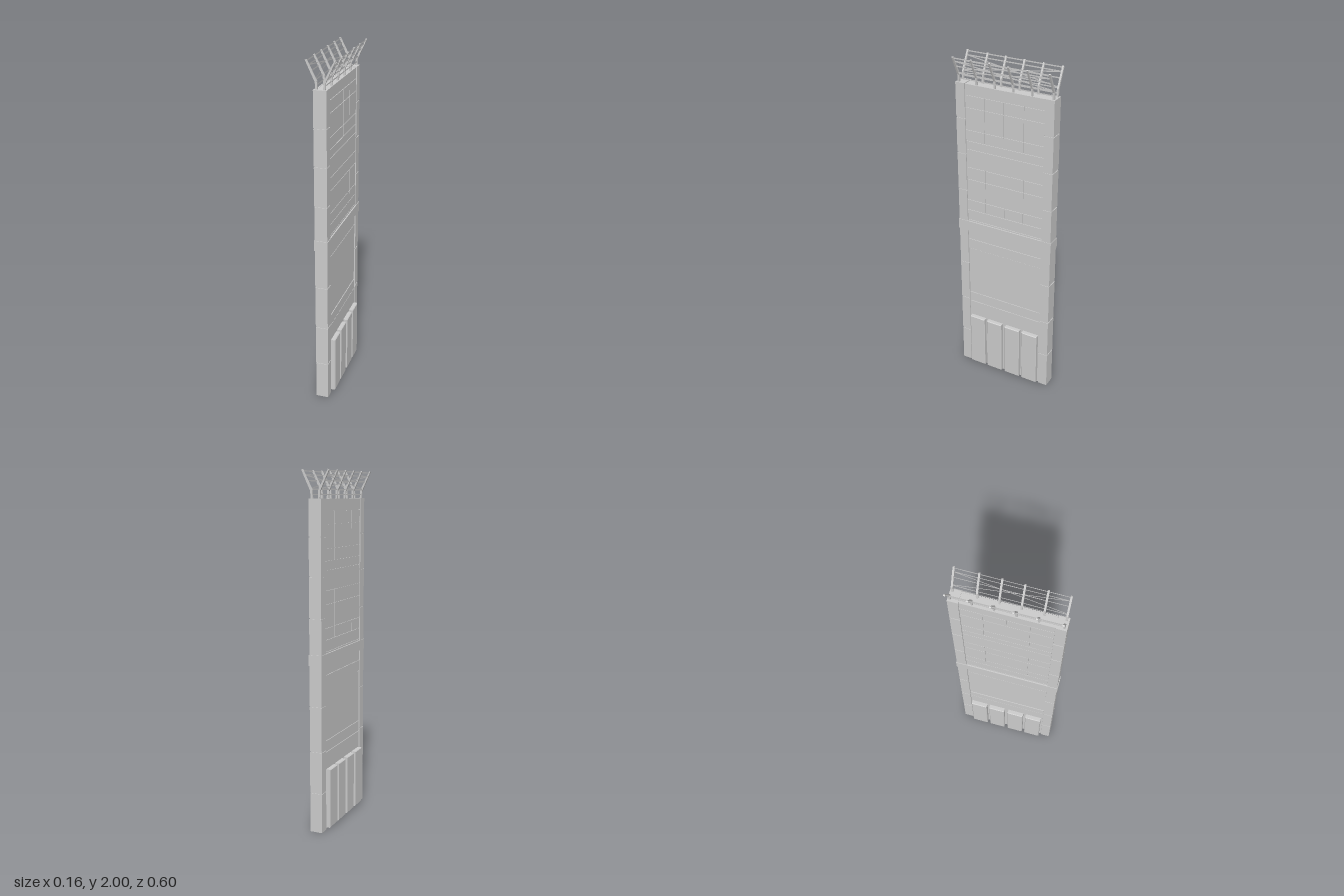
import * as THREE from 'three';

const material = new THREE.MeshStandardMaterial({ color: 0xcccccc, flatShading: true });
const thin = new THREE.MeshStandardMaterial({ color: 0xcccccc, side: THREE.DoubleSide });

export function createModel() {
  const root = new THREE.Group();
  root.name = 'barrierWall';

  const add = (name, geometry, mat = material) => {
    const mesh = new THREE.Mesh(geometry, mat);
    mesh.name = name;
    root.add(mesh);
    return mesh;
  };
  const box = (name, x0, x1, y0, y1, z0, z1) => {
    const mesh = add(name, new THREE.BoxGeometry(x1 - x0, y1 - y0, z1 - z0));
    mesh.position.set((x0 + x1) / 2, (y0 + y1) / 2, (z0 + z1) / 2);
    return mesh;
  };

  // Solid core, with the surface slabs leaving narrow seams over it
  box('wallCore', -0.028, 0.028, 0.005, 1.846, -0.245, 0.245);
  const face = 0.032, gap = 0.003;
  const slab = (name, y0, y1, z0 = -0.24, z1 = 0.24, x = face) => {
    for (const s of [-1, 1]) {
      const a = s * 0.025, b = s * x;
      box(name, Math.min(a, b), Math.max(a, b), y0 + gap / 2, y1 - gap / 2, z0 + gap / 2, z1 - gap / 2);
    }
  };

  // End columns: stacked blocks with dark joints
  const joints = [0, 0.23, 0.47, 0.727, 0.985, 1.215, 1.44, 1.65, 1.85];
  for (const s of [-1, 1]) {
    const zs = [s * 0.24, s * 0.296].sort((a, b) => a - b);
    box('columnCore', -0.033, 0.033, 0.002, 1.848, s > 0 ? 0.24 : -0.292, s > 0 ? 0.292 : -0.24);
    for (let i = 0; i < joints.length - 1; i++) {
      box('columnBlock', -0.036, 0.036, joints[i] + (i ? 0.003 : 0), joints[i + 1] - (i < 7 ? 0.003 : 0), ...zs);
    }
  }

  // Belt around the wall at mid height
  box('belt', -0.039, 0.039, 0.955, 1.015, -0.3, 0.3);

  // Lower face: plain base, beams and a sunken panel
  slab('basePanel', 0.003, 0.455);
  slab('lowerBeam', 0.455, 0.52);
  slab('sunkenPanel', 0.52, 0.83, -0.24, 0.24, 0.029);
  slab('upperBeam', 0.83, 0.895);
  slab('beltBacking', 0.895, 1.025);

  // Upper face: tiled panels divided by plain beams
  const tileRows = (rows) => {
    for (let r = 0; r < rows.length - 1; r++) {
      for (let c = 0; c < 4; c++) slab('wallTile', rows[r], rows[r + 1], -0.24 + c * 0.12, -0.12 + c * 0.12);
    }
  };
  slab('tileSill', 1.025, 1.09);
  tileRows([1.09, 1.155, 1.285, 1.36]);
  slab('middleBeam', 1.36, 1.47);
  slab('middleBeam', 1.47, 1.52);
  tileRows([1.52, 1.585, 1.715, 1.785]);
  slab('topBeam', 1.785, 1.849);

  // Bevelled buttress blocks at the foot
  const buttress = (s, z) => {
    const w = 0.1, h = 0.345, b = 0.004;
    const shape = new THREE.Shape();
    shape.moveTo(-w / 2 + b, b);
    shape.lineTo(w / 2 - b, b);
    shape.lineTo(w / 2 - b, h - b);
    shape.lineTo(-w / 2 + b, h - b);
    shape.closePath();
    const g = new THREE.ExtrudeGeometry(shape, { depth: 0.028, bevelEnabled: true, bevelSegments: 1, bevelSize: b, bevelThickness: b });
    const mesh = add('buttress', g);
    mesh.rotation.y = s * Math.PI / 2;
    mesh.position.set(s * 0.025, 0.01, z);
  };
  for (const s of [-1, 1]) for (const z of [-0.181, -0.063, 0.06, 0.177]) buttress(s, z);

  // Flared fence: bent posts leaning out over both faces
  const postShape = new THREE.Shape([
    [0.015, 1.845], [0.026, 1.845], [0.029, 1.888], [0.08, 1.997], [0.073, 2.0], [0.018, 1.893],
  ].map(p => new THREE.Vector2(...p)));
  const postGeometry = new THREE.ExtrudeGeometry(postShape, { depth: 0.01, bevelEnabled: false });
  postGeometry.translate(0, 0, -0.005);
  const postZ = [-0.284, -0.16, -0.049, 0.061, 0.172, 0.281];
  const postX = y => 0.025 + Math.max(0, y - 1.89) * 0.47;

  // Flat strip from (y0, z0) to (y1, z1), following the lean of the fence
  const strip = (name, s, y0, z0, y1, z1, w) => {
    const g = new THREE.PlaneGeometry(1, 1, 8, 1);
    const p = g.attributes.position;
    for (let i = 0; i < p.count; i++) {
      const t = p.getX(i) + 0.5;
      const mid = y0 + (y1 - y0) * t;
      p.setXYZ(i, s * postX(mid), mid + p.getY(i) * w, z0 + (z1 - z0) * t);
    }
    g.computeVertexNormals();
    add(name, g, thin);
  };
  for (const s of [-1, 1]) {
    postZ.forEach((z, i) => {
      const post = add('fencePost', postGeometry);
      post.position.z = s > 0 ? z : -postZ[5 - i] - 0.003;
      if (s < 0) post.rotation.y = Math.PI;
    });
    for (const y of [1.87, 1.897, 1.942, 1.972, 1.992]) strip('fenceRail', s, y, -0.284, y, 0.281, 0.007);
    strip('fenceBrace', s, 1.9, -0.284, 1.972, 0.281, 0.006);
    strip('fenceBrace', s, 1.972, -0.284, 1.9, 0.281, 0.006);
  }

  return root;
}
